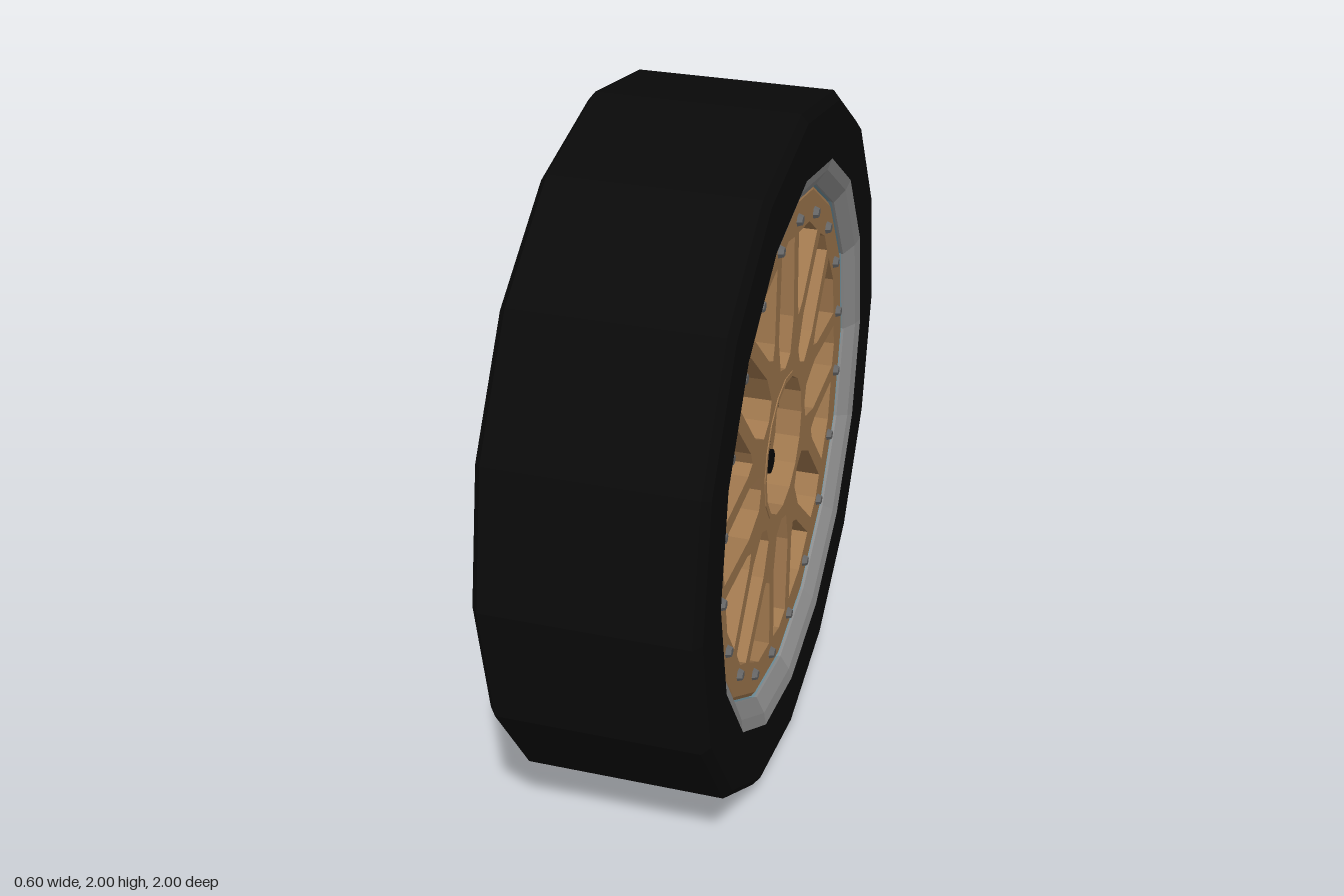
import * as THREE from 'three';

const SIDES = 16;
const paint = (color) => new THREE.MeshStandardMaterial({ color, flatShading: true });
const rubber = paint(0x090909);
const bronze = paint(0xa0784e);
const polished = paint(0x8c8c8c);
const barrelBlue = paint(0x70909c);
const steel = paint(0x666666);
const black = paint(0x050505);

// Ring turned about the axle; profile is a closed list of [radius, x]
function turned(name, profile, material, sides = SIDES) {
  const pts = [...profile, profile[0]].map(([r, x]) => new THREE.Vector2(r, x));
  const mesh = new THREE.Mesh(new THREE.LatheGeometry(pts, sides), material);
  mesh.rotation.z = -Math.PI / 2;
  mesh.name = name;
  return mesh;
}

// Cylinder lying along the axle, placed at a radius and angle from the top
function peg(name, r, x0, x1, sides, material, radius = 0, angle = 0, tip = r) {
  const mesh = new THREE.Mesh(new THREE.CylinderGeometry(tip, r, x1 - x0, sides), material);
  mesh.rotation.z = -Math.PI / 2;
  mesh.position.set((x0 + x1) / 2, radius * Math.cos(angle), radius * Math.sin(angle));
  mesh.name = name;
  return mesh;
}

// Window cut, symmetric about its own spoke axis; half is [offset, radius]
function windowPath(half, angle) {
  const mirrored = half.slice(1, -1).reverse().map(([v, r]) => [-v, r]);
  const c = Math.cos(angle), s = Math.sin(angle);
  return new THREE.Path([...half, ...mirrored].map(
    ([v, r]) => new THREE.Vector2(v * c + r * s, r * c - v * s)));
}

function spokeFace() {
  // Counter-clockwise outline, so the window walls face into the windows
  const outline = [];
  for (let i = 0; i < SIDES; i++) {
    const a = (i / SIDES) * Math.PI * 2;
    outline.push(new THREE.Vector2(0.655 * Math.cos(a), 0.655 * Math.sin(a)));
  }
  const shape = new THREE.Shape(outline);
  const narrow = [[0, 0.635], [0.07, 0.617], [0.083, 0.37], [0.055, 0.268], [0, 0.248]];
  const wedge = [[0, 0.635], [0.124, 0.608], [0.031, 0.409], [0, 0.375]];
  // Eight long windows with eight wedges between them leave Y-shaped spokes
  for (let i = 0; i < 8; i++) {
    const a = (i * Math.PI) / 4;
    shape.holes.push(windowPath(narrow, a), windowPath(wedge, a + Math.PI / 8));
  }
  shape.holes.push(new THREE.Path().absarc(0, 0, 0.208, 0, Math.PI * 2, true));
  const geo = new THREE.ExtrudeGeometry(shape, { depth: 0.085, bevelEnabled: false, curveSegments: 12 });
  geo.translate(0, 0, 0.17);
  geo.rotateY(Math.PI / 2);
  const mesh = new THREE.Mesh(geo, bronze);
  mesh.name = 'spokes';
  return mesh;
}

export function createModel() {
  const wheel = new THREE.Group();
  wheel.name = 'wheel';

  // Tyre with chamfered shoulders
  wheel.add(turned('tyre', [
    [0.815, -0.3], [0.975, -0.3], [1, -0.28], [1, 0.28], [0.975, 0.3], [0.815, 0.3],
  ], rubber));

  // Rim barrel and the polished lip on either side
  wheel.add(turned('barrel', [[0.742, -0.27], [0.79, -0.27], [0.79, 0.26], [0.742, 0.26]], barrelBlue));
  for (const side of [1, -1]) {
    const profile = [[0.818, 0.255], [0.818, 0.299], [0.782, 0.289], [0.74, 0.262], [0.74, 0.255]]
      .map(([r, x]) => [r, x * side]);
    if (side < 0) profile.reverse();
    wheel.add(turned(side > 0 ? 'outerLip' : 'innerLip', profile, polished));
  }

  // Spokes and the thinner bolted flange round them
  wheel.add(spokeFace());
  wheel.add(turned('faceFlange', [
    [0.655, 0.225], [0.738, 0.225], [0.738, 0.246], [0.725, 0.255], [0.655, 0.255],
  ], bronze));

  // Recessed hub
  wheel.add(turned('hub', [
    [0.09, 0.155], [0.215, 0.155], [0.215, 0.258], [0.2, 0.258], [0.2, 0.185], [0.09, 0.185],
  ], bronze));
  wheel.add(peg('centreCap', 0.11, 0.15, 0.194, 24, black));

  // Five lug nuts, the first close to the top
  for (let i = 0; i < 5; i++) {
    wheel.add(peg('lugNut', 0.036, 0.145, 0.197, 12, black, 0.16, (i / 5) * Math.PI * 2 + 0.06));
  }

  // Twenty rim bolts
  for (let i = 0; i < 20; i++) {
    wheel.add(peg('rimBolt', 0.02, 0.25, 0.27, 6, steel, 0.661, ((i + 0.5) / 20) * Math.PI * 2, 0.013));
  }

  wheel.position.y = 1;
  const model = new THREE.Group();
  model.name = 'carWheel';
  model.add(wheel);
  return model;
}
